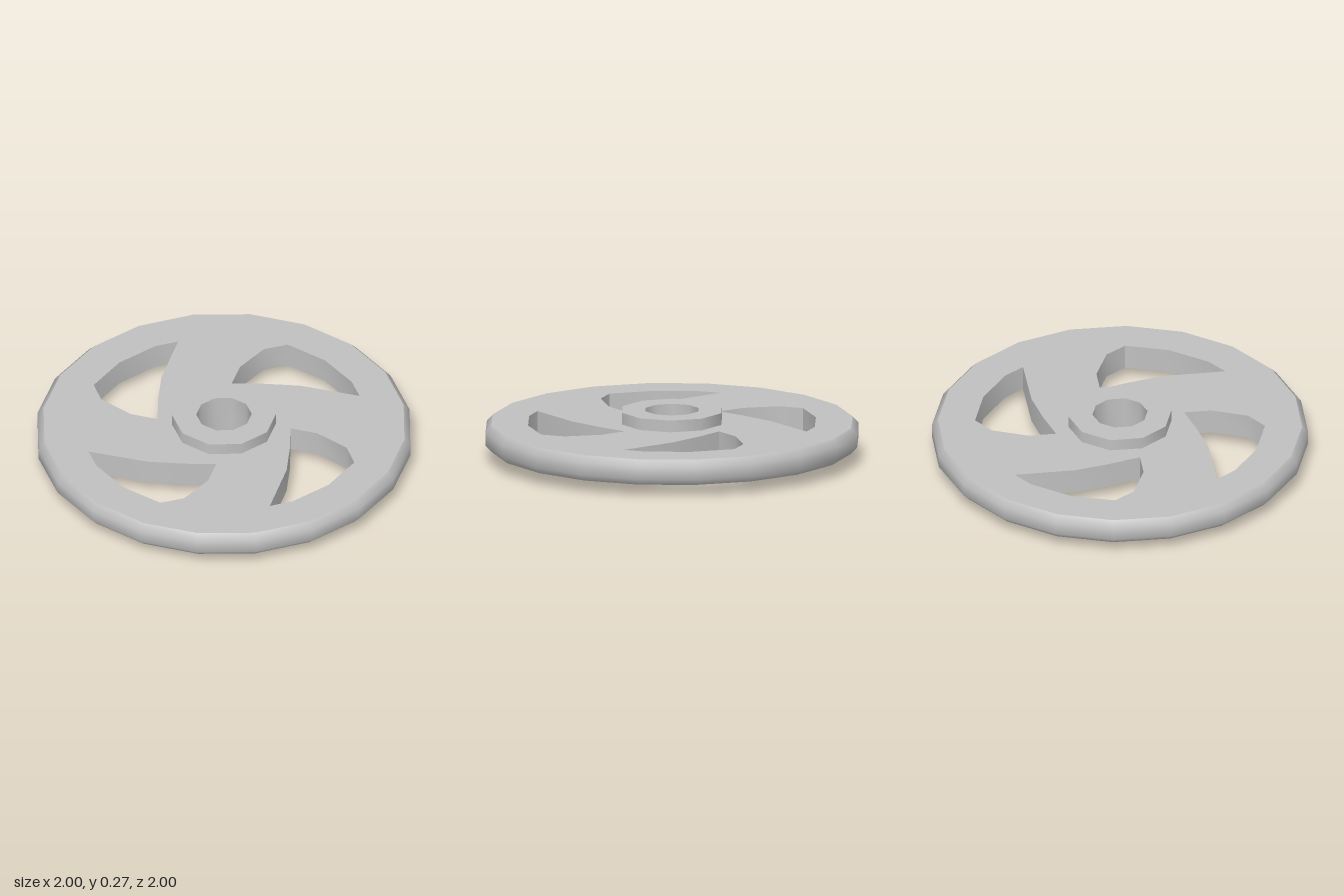
import * as THREE from 'three';
import { toCreasedNormals } from 'three/addons/utils/BufferGeometryUtils.js';

const BOTTOM = 0.065, TOP = 0.203, HUB_HEIGHT = 0.267;
const CREASE = THREE.MathUtils.degToRad(41);
const RIM_TURN = THREE.MathUtils.degToRad(95.2);
const HUB_TURN = THREE.MathUtils.degToRad(86.5);

const points = (list) => list.map(([x, y]) => new THREE.Vector2(x, y));

// Turned part with a given number of sides, its first corner at the start angle
function turned(profile, sides, start) {
  return new THREE.LatheGeometry(points(profile), sides, start);
}

// Flat disc with four swept openings between the spokes
function plateGeometry() {
  const outline = [];
  for (let i = 0; i < 20; i++) {
    const a = Math.PI / 2 - RIM_TURN + (i * Math.PI) / 10;
    outline.push([0.972 * Math.cos(a), 0.972 * Math.sin(a)]);
  }
  const shape = new THREE.Shape(points(outline));

  const opening = points([
    [0.07, -0.35], [0.24, -0.333], [0.433, -0.3], [0.74, -0.185], [0.709, -0.31],
    [0.58, -0.513], [0.395, -0.665], [0.265, -0.635], [0.125, -0.49],
  ]);
  for (let k = 0; k < 4; k++) {
    const turn = (k * Math.PI) / 2;
    const corners = opening.map((p) => p.clone().rotateAround(new THREE.Vector2(), turn));
    shape.holes.push(new THREE.Path(corners));
  }

  // Bore hidden inside the hub wall
  const bore = new THREE.Path();
  bore.absarc(0, 0, 0.2, 0, Math.PI * 2, true);
  shape.holes.push(bore);

  const geometry = new THREE.ExtrudeGeometry(shape, { depth: TOP - BOTTOM, bevelEnabled: false });
  geometry.rotateX(Math.PI / 2).translate(0, TOP, 0);
  return toCreasedNormals(geometry, CREASE);
}

export function createModel() {
  const group = new THREE.Group();
  const metal = new THREE.MeshStandardMaterial({ color: 0xc0c0c0 });
  metal.name = 'lightGreyMetal';

  const add = (name, geometry) => {
    const mesh = new THREE.Mesh(geometry, metal);
    mesh.name = name;
    group.add(mesh);
  };

  add('spokePlate', plateGeometry());

  // Rounded outer edge
  add('rim', turned(
    [[0.972, BOTTOM], [1.004, 0.1], [1.004, 0.168], [0.972, TOP]], 20, RIM_TURN));

  // Ten-sided hub with a through hole
  const hub = turned(
    [[0.148, 0], [0.278, 0], [0.278, HUB_HEIGHT], [0.148, HUB_HEIGHT], [0.148, 0]], 10, HUB_TURN);
  add('hub', toCreasedNormals(hub, CREASE));

  return group;
}
